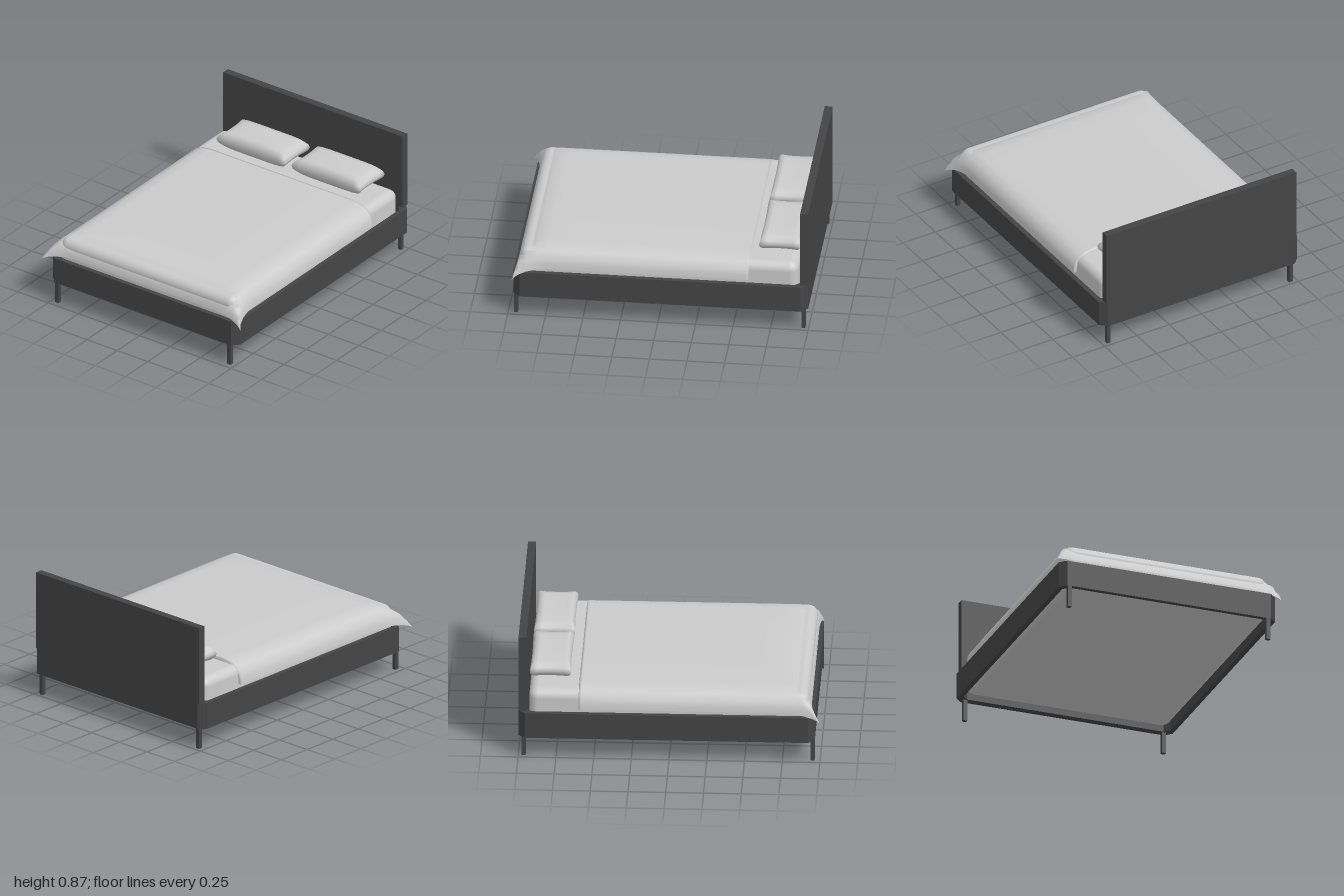
import * as THREE from 'three';
import { mergeVertices } from 'three/addons/utils/BufferGeometryUtils.js';
import { RoundedBoxGeometry } from 'three/addons/geometries/RoundedBoxGeometry.js';

const dark = new THREE.MeshStandardMaterial({ color: 0x444444 });
const grey = new THREE.MeshStandardMaterial({ color: 0xcccccc });
const cloth = new THREE.MeshStandardMaterial({ color: 0xcccccc, side: THREE.DoubleSide });

// Rectangle with cut corners, in plan (shape y = -z)
function cutRect(Type, x, zBack, zFront, c) {
  const b = -zBack, f = -zFront;
  return new Type([
    [-x + c, f], [x - c, f], [x, f + c], [x, b - c],
    [x - c, b], [-x + c, b], [-x, b - c], [-x, f + c],
  ].map(([px, py]) => new THREE.Vector2(px, py)));
}

// Soft cushion: a subdivided box, swollen in the middle and pinched at the ends
function pillowGeometry(hx, hy, hz) {
  const box = new THREE.BoxGeometry(2, 2, 2, 10, 4, 6);
  box.deleteAttribute('uv');
  box.deleteAttribute('normal');
  const geo = mergeVertices(box);
  const p = geo.attributes.position;
  for (let i = 0; i < p.count; i++) {
    const u = p.getX(i), v = p.getY(i), w = p.getZ(i);
    const waist = 1 - 0.03 * (1 - w * w) * u * u;
    p.setXYZ(i,
      u * hx * (1 - 0.12 * v * v * u * u) * waist,
      v * hy * (1 - 0.22 * u * u * u * u) * (0.94 + 0.06 * w * w),
      w * hz * (1 - 0.17 * v * v * w * w) * (0.96 + 0.04 * u * u));
  }
  geo.computeVertexNormals();
  return geo;
}

// Draped sheet: edge profiles across and along, with flared front corners
function blanketGeometry() {
  const half = [[0.3, 0], [0.58, 0], [0.65, 0.008], [0.7, 0.03], [0.732, 0.07], [0.742, 0.11], [0.745, 0.14]];
  const across = [...half.map(([x, d]) => [-x, d]).reverse(), [0, 0], ...half];
  const along = [[-0.6, 0.03], [-0.6, 0], [-0.585, 0], [-0.3, 0], [0, 0], [0.3, 0], [0.6, 0], [0.74, 0],
    [0.81, 0.008], [0.87, 0.028], [0.915, 0.065], [0.935, 0.105], [0.94, 0.14]];
  const pos = [], idx = [], n = across.length;
  along.forEach(([z, dz], j) => across.forEach(([x, dx], i) => {
    const lip = j === 0;
    const w = lip ? 0 : Math.pow(dx * dz / 0.0196, 0.8);
    const flare = x < 0 ? [-0.065, -0.04, 0.06] : [0.063, -0.07, 0.03];
    const drop = lip ? Math.max(dx, 0.03) : Math.max(dx, dz);
    pos.push((lip ? x * 0.975 : x) + w * flare[0], 0.495 - drop + w * flare[1], z + w * flare[2]);
    if (i < n - 1 && j < along.length - 1) {
      const a = j * n + i, c = a + n;
      idx.push(a, c, a + 1, a + 1, c, c + 1);
    }
  }));
  const geo = new THREE.BufferGeometry();
  geo.setAttribute('position', new THREE.Float32BufferAttribute(pos, 3));
  geo.setIndex(idx);
  geo.computeVertexNormals();
  return geo;
}

export function createModel() {
  const bed = new THREE.Group();
  bed.name = 'bed';
  const add = (name, geo, mat, x = 0, y = 0, z = 0) => {
    const mesh = new THREE.Mesh(geo, mat);
    mesh.name = name;
    mesh.position.set(x, y, z);
    bed.add(mesh);
    return mesh;
  };

  // Open rectangular frame
  const ring = cutRect(THREE.Shape, 0.767, -0.998, 0.965, 0.045);
  ring.holes.push(cutRect(THREE.Path, 0.733, -0.945, 0.932, 0.035));
  const frame = new THREE.ExtrudeGeometry(ring, { depth: 0.18, bevelEnabled: false });
  frame.rotateX(-Math.PI / 2);
  add('frame', frame, dark, 0, 0.15, 0);

  // Headboard standing on the back rail
  add('headboard', new THREE.BoxGeometry(1.47, 0.54, 0.053), dark, 0, 0.6, -0.9715);

  // Four legs
  for (const [side, x] of [['left', 0.705], ['right', -0.705]]) {
    add(side + 'FrontLeg', new THREE.BoxGeometry(0.027, 0.15, 0.027), dark, x, 0.075, 0.95);
    add(side + 'BackLeg', new THREE.BoxGeometry(0.027, 0.15, 0.027), dark, x, 0.075, -0.965);
  }

  // Mattress, blanket and pillows
  add('mattress', new RoundedBoxGeometry(1.44, 0.31, 1.855, 4, 0.06), grey, 0, 0.32, -0.002);
  add('blanket', blanketGeometry(), cloth);
  const pillow = pillowGeometry(0.283, 0.058, 0.137);
  add('rightPillow', pillow, grey, -0.297, 0.547, -0.793);
  add('leftPillow', pillow, grey, 0.317, 0.547, -0.793);
  return bed;
}
